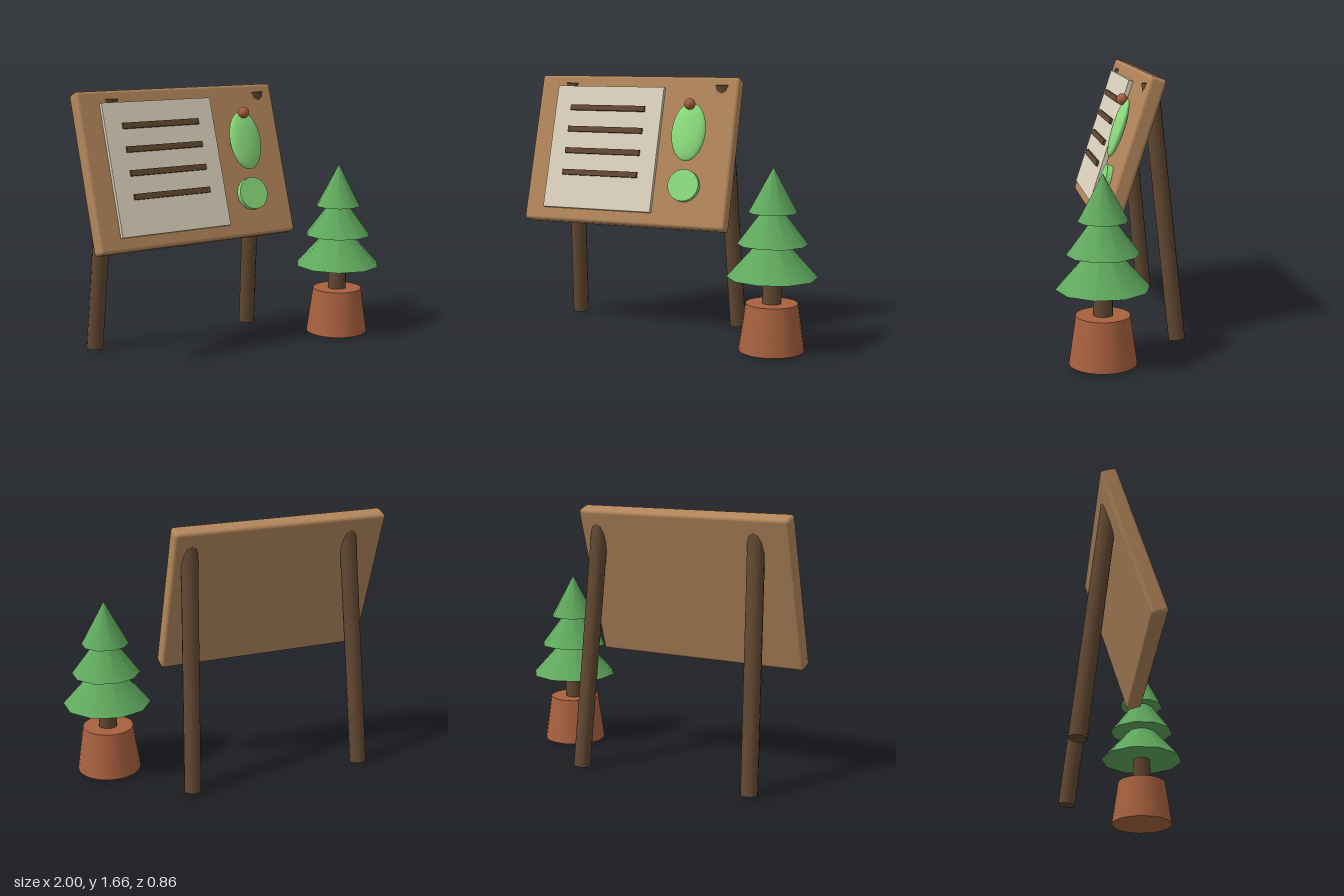
import * as THREE from 'three';
import { RoundedBoxGeometry } from 'three/addons/geometries/RoundedBoxGeometry.js';

const flat = (name, color) => {
  const m = new THREE.MeshStandardMaterial({ color });
  m.name = name;
  return m;
};

export function createModel() {
  const wood = flat('board wood', 0xb2865b);
  const darkWood = flat('dark wood', 0x614831);
  const paper = flat('paper', 0xdcd2bd);
  const lime = flat('light green', 0x8bdc7c);
  const leaf = flat('leaf green', 0x60a95e);
  const clay = flat('clay', 0xa8613f);

  const model = new THREE.Group();
  model.name = 'noticeBoardAndTree';
  const add = (parent, name, geometry, material, x, y, z) => {
    const mesh = new THREE.Mesh(geometry, material);
    mesh.name = name;
    mesh.position.set(x, y, z);
    parent.add(mesh);
    return mesh;
  };

  // Tilted board with everything mounted on its face
  const board = new THREE.Group();
  board.name = 'board';
  board.position.set(-0.298, 1.1825, -0.0875);
  board.rotation.x = -Math.PI / 10;
  model.add(board);
  add(board, 'panel', new RoundedBoxGeometry(1.403, 0.992, 0.104, 3, 0.022), wood, 0, 0, 0);
  add(board, 'sheet', new THREE.BoxGeometry(0.76, 0.824, 0.034), paper, -0.177, 0, 0.063);
  for (let i = 0; i < 4; i++) {
    add(board, 'writingLine', new THREE.BoxGeometry(0.53, 0.036, 0.02), darkWood,
      -0.177, 0.262 - i * 0.146, 0.085);
  }

  // Ornaments on the right of the face
  const oval = add(board, 'ovalOrnament', new THREE.SphereGeometry(1, 24, 16), lime, 0.41, 0.118, 0.09);
  oval.scale.set(0.115, 0.19, 0.034);
  const disc = add(board, 'roundOrnament', new THREE.CylinderGeometry(0.103, 0.103, 0.04, 24), lime,
    0.41, -0.2265, 0.067);
  disc.rotation.x = Math.PI / 2;
  add(board, 'bead', new THREE.SphereGeometry(0.036, 16, 12), clay, 0.41, 0.293, 0.124);

  // Back legs, whose tops come through the board
  for (const [bottomX, topX] of [[-0.825, -0.768], [0.345, 0.288]]) {
    const foot = new THREE.Vector3(bottomX, 0.006, -0.376);
    const axis = new THREE.Vector3(topX, 1.62, -0.203).sub(foot);
    const leg = add(model, 'leg', new THREE.CylinderGeometry(0.053, 0.053, axis.length(), 12), darkWood, 0, 0, 0);
    leg.position.copy(foot).addScaledVector(axis, 0.5);
    leg.quaternion.setFromUnitVectors(new THREE.Vector3(0, 1, 0), axis.clone().normalize());
  }

  // Potted tree
  const tree = new THREE.Group();
  tree.name = 'pottedTree';
  tree.position.set(0.73, 0, 0.15);
  model.add(tree);
  add(tree, 'pot', new THREE.CylinderGeometry(0.162, 0.204, 0.295, 24), clay, 0, 0.1575, 0);
  add(tree, 'trunk', new THREE.CylinderGeometry(0.06, 0.06, 0.25, 12), darkWood, 0, 0.405, 0);
  for (const [radius, base, height] of [[0.28, 0.468, 0.31], [0.217, 0.672, 0.29], [0.149, 0.866, 0.278]]) {
    add(tree, 'foliageTier', new THREE.ConeGeometry(radius, height, 10), leaf, 0, base + height / 2, 0);
  }
  return model;
}
